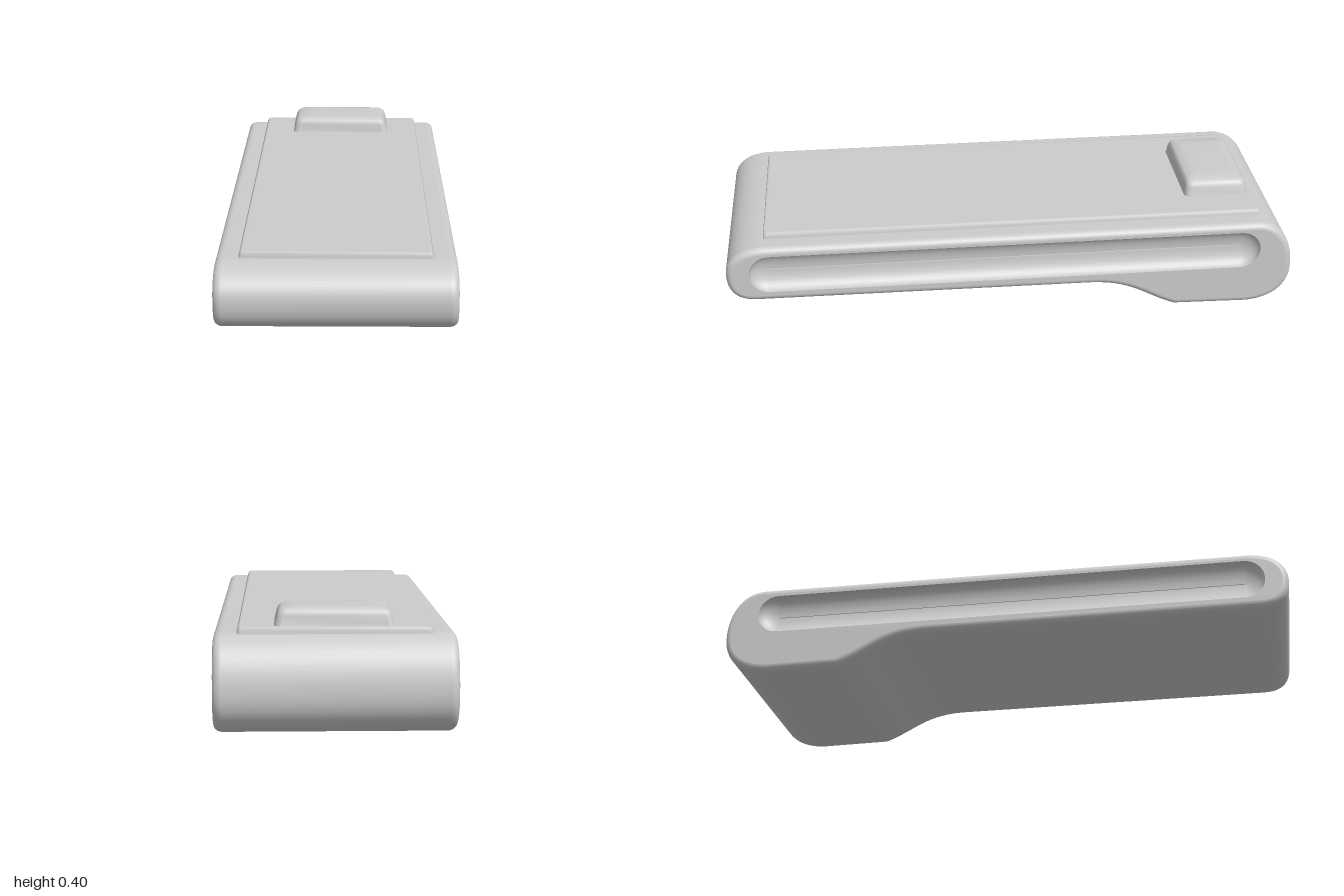
import * as THREE from 'three';

const HALF_W = 0.385, TAU = Math.PI * 2;

// Skin a list of closed rings (arrays of Vector3, equal length), optionally closing the last one
function loft(rings, closeEnd = false) {
  const n = rings[0].length, pos = [], idx = [];
  rings.forEach(r => r.forEach(p => pos.push(p.x, p.y, p.z)));
  for (let i = 0; i < rings.length - 1; i++) {
    for (let j = 0; j < n; j++) {
      const k = (j + 1) % n, a = i * n + j, b = i * n + k;
      idx.push(a, b, a + n, b, b + n, a + n);
    }
  }
  if (closeEnd) {
    const last = rings[rings.length - 1], base = (rings.length - 1) * n;
    const c = last.reduce((s, p) => s.add(p), new THREE.Vector3()).divideScalar(n);
    pos.push(c.x, c.y, c.z);
    for (let j = 0; j < n; j++) idx.push(base + j, base + (j + 1) % n, base + n);
  }
  const g = new THREE.BufferGeometry();
  g.setAttribute('position', new THREE.Float32BufferAttribute(pos, 3));
  g.setIndex(idx);
  g.computeVertexNormals();
  return g;
}

// Mirror across the width and restore the winding
function mirrored(geo) {
  const g = geo.clone().scale(1, 1, -1);
  g.index.array.reverse();
  g.computeVertexNormals();
  return g;
}

// Side outline, drawn with the back to the right
function sideProfile() {
  const s = new THREE.Shape();
  s.moveTo(-0.9, 0.113);
  s.lineTo(0.28, 0.109);
  s.bezierCurveTo(0.43, 0.105, 0.47, 0.045, 0.58, 0.005);
  s.lineTo(0.84, 0);
  s.bezierCurveTo(0.93, 0.004, 1, 0.05, 1, 0.14);
  s.bezierCurveTo(1, 0.24, 0.95, 0.322, 0.86, 0.322);
  s.lineTo(-0.87, 0.32);
  s.bezierCurveTo(-0.96, 0.316, -1, 0.27, -1, 0.215);
  s.bezierCurveTo(-1, 0.15, -0.97, 0.114, -0.9, 0.113);
  const pts = s.getPoints(14);
  if (pts[0].distanceTo(pts[pts.length - 1]) < 1e-5) pts.pop();
  return pts;
}

// Move a counter-clockwise outline inwards
function inset(pts, d) {
  const n = pts.length;
  return pts.map((p, i) => {
    const a = p.clone().sub(pts[(i + n - 1) % n]).normalize();
    const b = pts[(i + 1) % n].clone().sub(p).normalize();
    const t = a.add(b).normalize();
    return new THREE.Vector2(p.x - t.y * d, p.y + t.x * d);
  });
}

// Long slot outline of radius r
function slot(r) {
  const pts = [], n = 14;
  for (const [cx, start] of [[0.81, -Math.PI / 2], [-0.85, Math.PI / 2]]) {
    for (let i = 0; i <= n; i++) {
      const a = start + Math.PI * i / n;
      pts.push(new THREE.Vector2(cx + r * Math.cos(a), 0.22 + r * Math.sin(a)));
    }
  }
  return pts;
}

const at = (pts, w) => pts.map(p => new THREE.Vector3(p.x, p.y, w));

// Stacked rounded rectangles: rows of [half width, half depth, height]
function pillow(rows, corner, z) {
  const rings = rows.map(([hx, hz, y]) => {
    const ring = [], n = 5;
    for (let q = 0; q < 4; q++) {
      const sx = q === 0 || q === 3 ? 1 : -1, sy = q < 2 ? 1 : -1;
      for (let i = 0; i <= n; i++) {
        const a = (q + i / n) * TAU / 4;
        ring.push(new THREE.Vector3(
          sx * (hx - corner) + corner * Math.cos(a),
          sy * (hz - corner) + corner * Math.sin(a), y));
      }
    }
    return ring;
  });
  return loft(rings, true).rotateX(-Math.PI / 2).translate(0, 0, z);
}

export function createModel() {
  const model = new THREE.Group();
  model.name = 'handheldDevice';
  const mat = new THREE.MeshStandardMaterial({ color: 0xcccccc, side: THREE.DoubleSide });
  const add = (name, geo) => {
    const mesh = new THREE.Mesh(geo, mat);
    mesh.name = name;
    model.add(mesh);
  };
  const turn = geo => geo.rotateY(Math.PI / 2);

  // Body shell with rounded side edges
  const profile = sideProfile(), bevel = 0.022, bevelW = 0.027, steps = 6;
  const half = [];
  for (let i = 0; i <= steps; i++) {
    const a = i / steps * Math.PI / 2;
    half.push([inset(profile, bevel * (1 - Math.cos(a))), HALF_W - bevelW * (1 - Math.sin(a))]);
  }
  add('bodyShell', turn(loft([
    ...half.slice().reverse().map(([p, w]) => at(p, -w)),
    ...half.map(([p, w]) => at(p, w)),
  ])));

  // Side faces, each with a long hollow grip
  const face = new THREE.Shape(inset(profile, bevel));
  face.holes.push(new THREE.Path(slot(0.07).reverse()));
  const faceGeo = new THREE.ShapeGeometry(face).translate(0, 0, HALF_W);
  const dish = [];
  for (let i = 0; i <= 8; i++) {
    const a = i / 8 * Math.PI / 2;
    dish.push(at(slot(Math.max(0.07 * Math.cos(a), 0.001)), HALF_W - 0.04 * Math.sin(a)));
  }
  const dishGeo = loft(dish);
  add('rightSideFace', turn(mirrored(faceGeo)));
  add('rightGripRecess', turn(mirrored(dishGeo)));
  add('leftSideFace', turn(faceGeo));
  add('leftGripRecess', turn(dishGeo));

  // Raised flat panel on top
  add('topPanel', pillow([
    [0.312, 0.881, 0.31], [0.31, 0.879, 0.326], [0.306, 0.877, 0.337],
    [0.303, 0.874, 0.34], [0.295, 0.866, 0.34],
  ], 0.012, -0.012));

  // Raised block near the back
  add('topButton', pillow([
    [0.194, 0.117, 0.335], [0.191, 0.113, 0.343], [0.184, 0.11, 0.372],
    [0.178, 0.106, 0.385], [0.167, 0.098, 0.394], [0.13, 0.075, 0.399], [0.11, 0.06, 0.4],
  ], 0.022, -0.755));

  return model;
}
